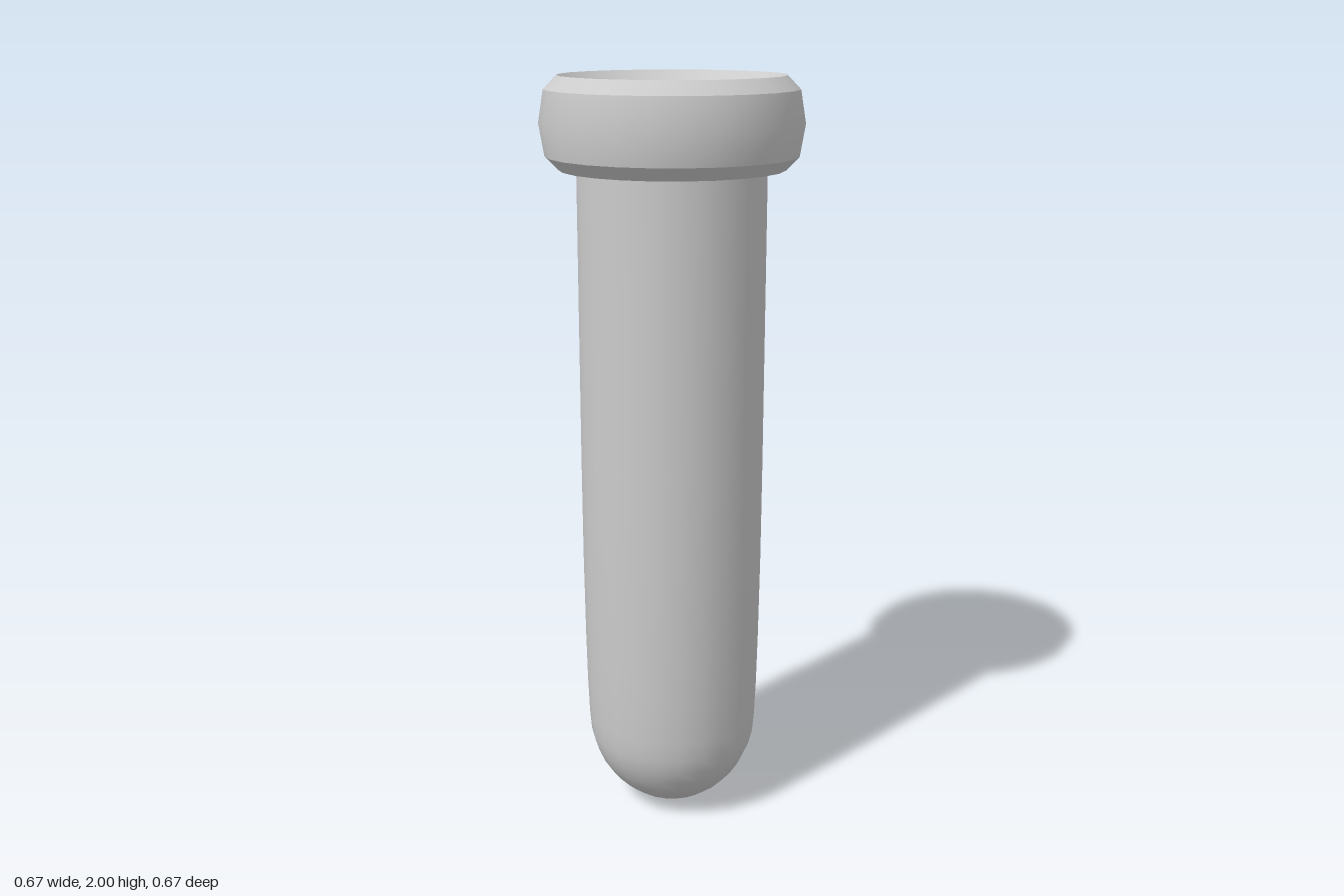
import * as THREE from 'three';
import { toCreasedNormals } from 'three/addons/utils/BufferGeometryUtils.js';

const SIDES = 24;

export function createModel() {
  const group = new THREE.Group();
  group.name = 'testTube';

  // Thin open tube: rounded bottom, slight taper, straight wall up into the rim
  const profile = [
    [0, 0], [0.035, 0.003], [0.07, 0.012], [0.11, 0.03], [0.145, 0.056], [0.175, 0.087],
    [0.2, 0.125], [0.217, 0.163], [0.228, 0.205], [0.233, 0.26], [0.237, 0.36],
    [0.24, 0.5], [0.243, 0.73], [0.244, 1], [0.244, 1.885],
  ].map(([r, y]) => new THREE.Vector2(r, y));
  const tube = new THREE.Mesh(
    new THREE.LatheGeometry(profile, SIDES),
    new THREE.MeshStandardMaterial({ color: 0xcccccc, side: THREE.DoubleSide }),
  );
  tube.name = 'tubeBody';
  group.add(tube);

  // Rim: eight-sided ring, stretched upwards, with its sharp edges kept
  const ring = new THREE.TorusGeometry(0.29, 0.047, 8, SIDES);
  ring.rotateX(-Math.PI / 2);
  ring.scale(1, 0.116 / 0.047, 1);
  ring.translate(0, 1.884, 0);
  const rim = new THREE.Mesh(
    toCreasedNormals(ring, Math.PI / 6),
    new THREE.MeshStandardMaterial({ color: 0xcccccc }),
  );
  rim.name = 'rim';
  group.add(rim);

  return group;
}
